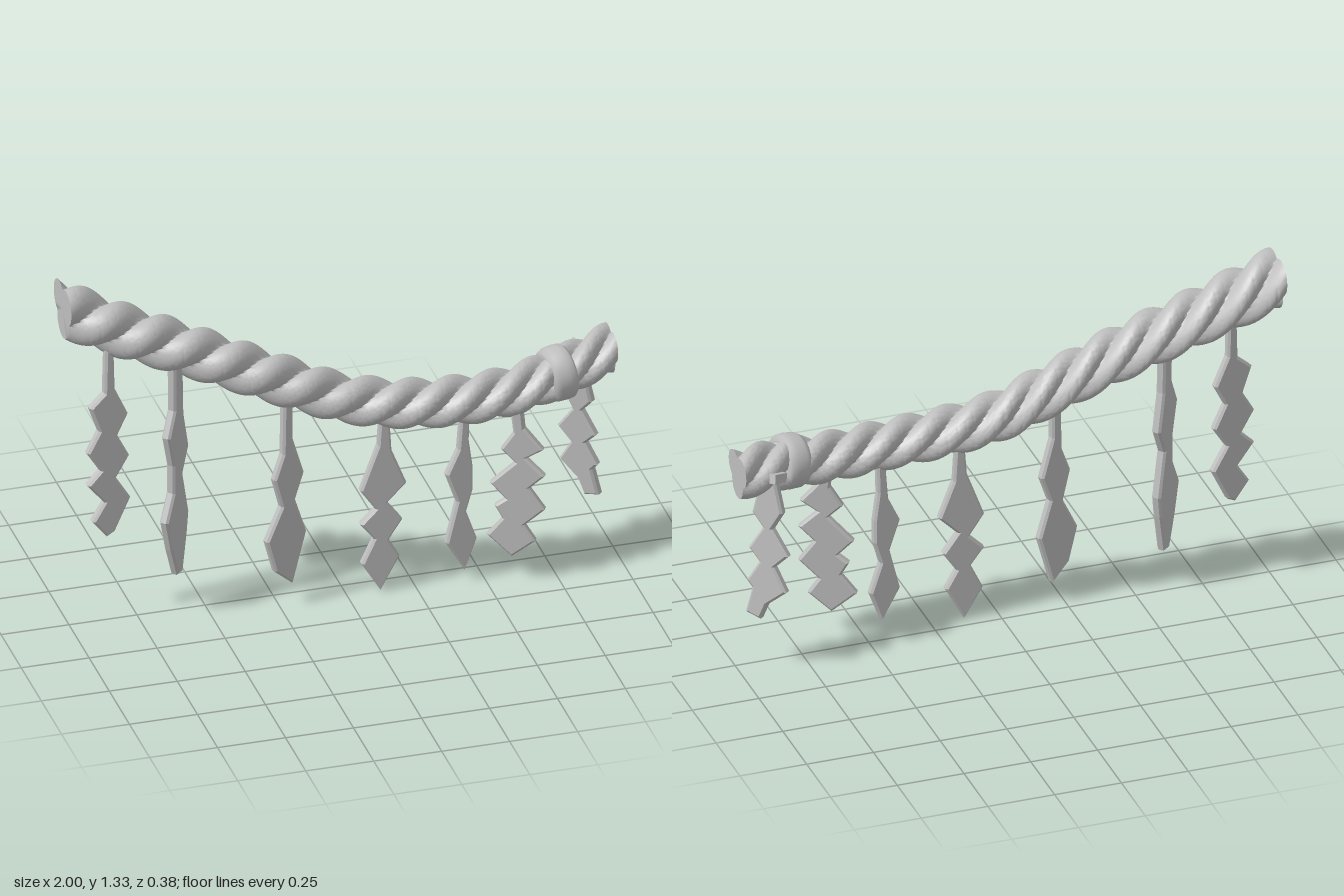
import * as THREE from 'three';
import { toCreasedNormals } from 'three/addons/utils/BufferGeometryUtils.js';

const grey = new THREE.MeshStandardMaterial({ color: 0xbfbfbf });
grey.name = 'plainGrey';

// Centre line of the sagging rope, evenly spaced in x
const path = new THREE.CatmullRomCurve3([
  [1.235, -0.08], [1.14, -0.042], [1.055, -0.012], [0.967, 0.02], [0.875, 0.042], [0.79, 0.06],
  [0.75, 0.083], [0.735, 0.092], [0.735, 0.078], [0.762, 0.04], [0.79, -0.025],
].map(([y, z], i) => new THREE.Vector3(-1 + i * 0.2, y, z)), false, 'catmullrom');

function add(group, geometry, name) {
  const mesh = new THREE.Mesh(geometry, grey);
  mesh.name = name;
  group.add(mesh);
  return mesh;
}

// Three-lobed section, twisted along the path and closed with flat ends
function ropeGeometry() {
  const rows = 260, cols = 72, strand = 0.054, offset = 0.041;
  const pos = [], index = [];
  const addRow = (t, grow) => {
    const c = path.getPoint(t), d = path.getTangent(t);
    const flare = Math.max(0, 1 - t * 2.2);
    const sizeY = grow * (0.98 + 0.11 * flare) * Math.hypot(1, d.y / d.x);
    const sizeZ = grow * (0.98 + 0.22 * flare) * Math.hypot(1, d.z / d.x);
    const twist = Math.PI - t * Math.PI * 2 * 14 / 3;
    for (let j = 0; j <= cols; j++) {
      const a = j / cols * Math.PI * 2, third = Math.PI * 2 / 3;
      let b = (a - twist) % third;
      if (b < 0) b += third;
      if (b > third / 2) b -= third;
      const r = offset * Math.cos(b) + Math.sqrt(strand ** 2 - (offset * Math.sin(b)) ** 2);
      pos.push(c.x, c.y + r * Math.cos(a) * sizeY, c.z + r * Math.sin(a) * sizeZ);
    }
  };
  addRow(0, 0);
  for (let i = 0; i <= rows; i++) addRow(i / rows, 1);
  addRow(1, 0);
  for (let i = 0; i < rows + 2; i++) {
    for (let j = 0; j < cols; j++) {
      const a = i * (cols + 1) + j, c = a + cols + 1;
      if (i > 0) index.push(a, a + 1, c);
      if (i < rows + 1) index.push(a + 1, c + 1, c);
    }
  }
  const g = new THREE.BufferGeometry();
  g.setAttribute('position', new THREE.Float32BufferAttribute(pos, 3));
  g.setIndex(index);
  return toCreasedNormals(g, 0.8);
}

// Zigzag strip: outline in hundredths, left edge downward then right edge upward
function streamer(group, x, z, yawDegrees, outline) {
  const yaw = THREE.MathUtils.degToRad(yawDegrees);
  const widen = 0.01 / Math.cos(yaw);
  const shape = new THREE.Shape(outline.map(([u, y]) => new THREE.Vector2(u * widen, y * 0.01)));
  const g = new THREE.ExtrudeGeometry(shape, {
    depth: 0.02, bevelEnabled: true, bevelThickness: 0.008, bevelSize: 0.008, bevelOffset: -0.008, bevelSegments: 1,
  });
  g.translate(0, 0, -0.01);
  const mesh = add(group, g, 'zigzagStreamer');
  mesh.position.set(x, 0, z);
  mesh.rotation.set(0, yaw, 0, 'YXZ');
  return mesh;
}

export function createModel() {
  const group = new THREE.Group();
  group.name = 'ropeGarland';
  add(group, ropeGeometry(), 'twistedRope');

  // Binding wrapped around the rope near its left end, with a short tail behind
  const profile = [[0.07, -0.045], [0.09, -0.043], [0.099, -0.025], [0.101, 0.01], [0.099, 0.032], [0.09, 0.043], [0.07, 0.045]];
  const band = add(group, new THREE.LatheGeometry(profile.map(([r, y]) => new THREE.Vector2(r, y)), 40), 'binding');
  band.position.set(0.78, 0.762, 0.05);
  band.quaternion.setFromUnitVectors(new THREE.Vector3(0, 1, 0), new THREE.Vector3(1, 0.1, -0.15).normalize());
  const tail = add(group, new THREE.BoxGeometry(0.06, 0.035, 0.03), 'bindingTail');
  tail.position.set(0.87, 0.78, -0.085);
  tail.rotation.set(0.2, 0.5, 0.15);

  // Hanging streamers, from the right end to the left end
  streamer(group, -0.85, -0.02, 8, [[-1.5, 110], [-2, 91], [-7.5, 86], [-4, 76], [-8.5, 68], [-3.5, 60], [-8.5, 55],
    [-2, 47], [-6.5, 40], [-1, 33], [2, 34.5], [8, 47], [2.5, 56], [7.5, 64], [3, 73], [7, 81], [2, 92], [1.5, 110]]);
  streamer(group, -0.617, 0.025, 42, [[-2.2, 103], [-2, 83], [-5, 73.5], [-2.5, 61], [-2.5, 50], [-6, 40], [-3.5, 27.5],
    [-0.5, 16], [2, 16], [4.2, 31], [5, 39], [2, 56], [5, 65.5], [2.5, 80], [2, 103]]);
  streamer(group, -0.217, 0.065, 16, [[-2, 88], [-2.5, 61], [-6, 51.5], [-3, 40], [-9, 27.5], [-5.5, 14.5], [1.5, 8],
    [7, 27.5], [2.5, 41.5], [6, 51.5], [1.5, 66.5], [1.5, 88]]);
  streamer(group, 0.13, 0.06, 0, [[-0.5, 73], [-1.5, 58.5], [-8, 41], [-2.5, 33], [-8, 27.5], [-3, 21], [-7.5, 11.5],
    [-0.5, 0], [6.5, 13], [2.5, 20], [7.5, 27.5], [2, 35], [9, 42], [3.5, 56], [2.5, 73]]);
  streamer(group, 0.43, 0.072, 5, [[-1, 72], [-2.5, 53], [-7, 43.5], [-3, 32], [-7, 16], [0, 4],
    [4.5, 16], [0.5, 27.5], [3, 36], [3, 45], [1.5, 56], [2, 72]]);
  streamer(group, 0.607, 0.118, -28, [[-2, 73], [-0.5, 59], [-4.5, 52], [0, 47], [-8, 38], [-3, 32], [-6.5, 29], [-4, 24],
    [-9, 17], [-1, 9], [6.5, 16], [3, 22], [9.5, 29], [4.5, 37], [9.5, 42.5], [3.5, 49], [9, 53], [3, 61], [2, 73]]);
  // The last streamer leans slightly outward
  const leaning = streamer(group, 0.92, -0.072, -48, [[-1, 76], [-3.5, 63], [-1, 56], [-5.5, 47], [-2, 41.5], [-5.5, 33],
    [-0.5, 26.5], [1, 20.5], [5, 22], [3.5, 32], [5, 34.5], [2, 42.5], [5, 47], [1.5, 56], [4.5, 61], [2.5, 76]]);
  leaning.rotation.x = 0.09;
  return group;
}
